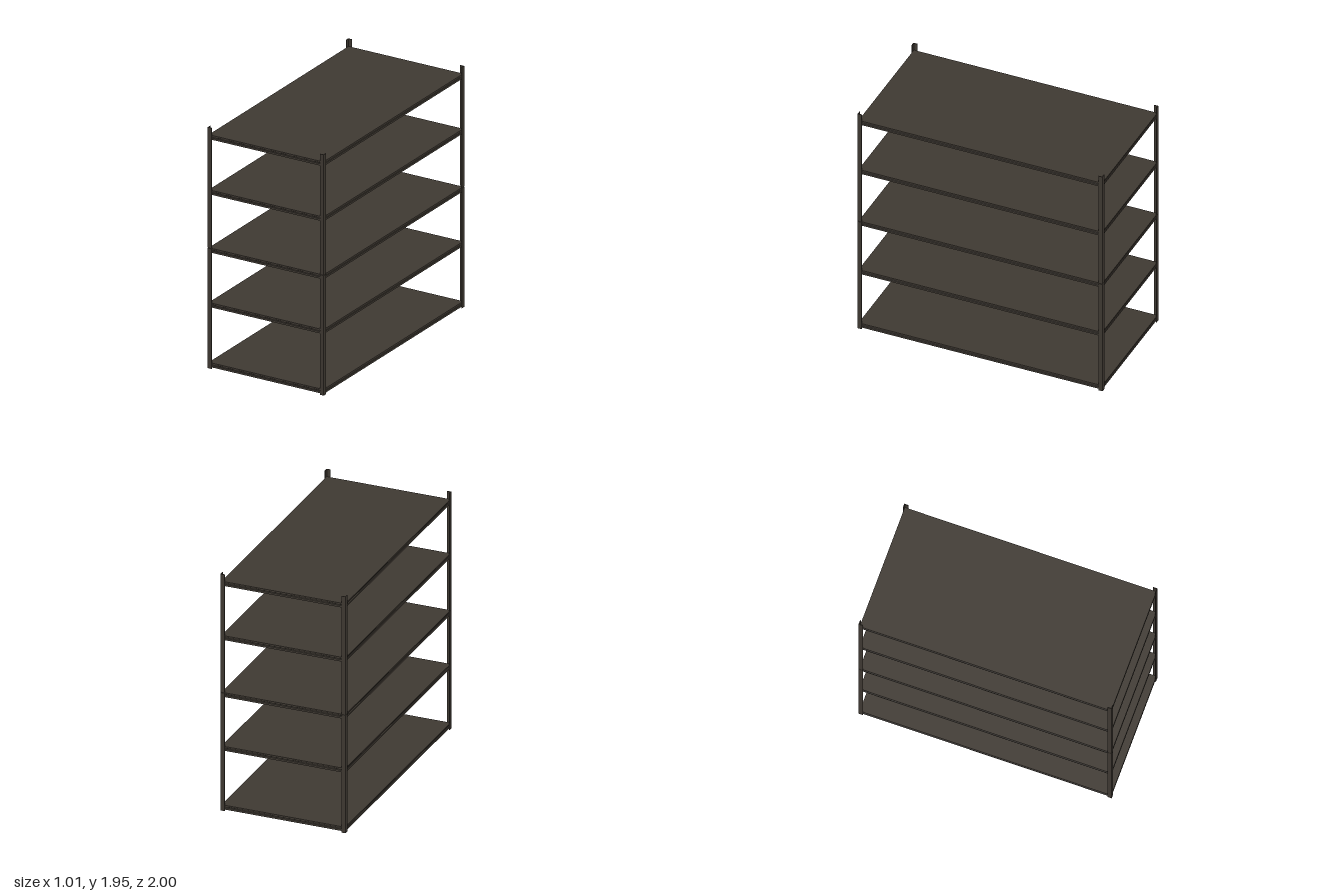
import * as THREE from 'three';

const HX = 0.507, HZ = 1.0;      // outer half width and half depth
const LEG = 0.034, WALL = 0.006; // angle post size
const BEAM = 0.036;              // beam height
const SHELF_TOPS = [0.046, 0.529, 0.971, 1.439, 1.884];

export function createModel() {
  const root = new THREE.Group();
  root.name = 'shelvingUnit';
  const steel = new THREE.MeshStandardMaterial({ color: 0x403a33 });
  steel.name = 'dark steel';

  const add = (parent, name, geometry, x = 0, y = 0, z = 0) => {
    const mesh = new THREE.Mesh(geometry, steel);
    mesh.name = name;
    mesh.position.set(x, y, z);
    parent.add(mesh);
    return mesh;
  };
  const box = (parent, name, w, h, d, x, y, z) =>
    add(parent, name, new THREE.BoxGeometry(w, h, d), x, y, z);
  const shapeOf = (points) => new THREE.Shape(points.map(([x, y]) => new THREE.Vector2(x, y)));

  // Angle posts in two stacked lengths, each corner's L opening inwards
  for (const [y0, y1] of [[0, 0.969], [0.973, 1.945]]) {
    for (const sx of [-1, 1]) for (const sz of [-1, 1]) {
      const at = (a, b) => [sx * (HX - a), -sz * (HZ - b)];
      const outline = shapeOf([at(0, 0), at(LEG, 0), at(LEG, WALL), at(WALL, WALL), at(WALL, LEG), at(0, LEG)]);
      const geometry = new THREE.ExtrudeGeometry(outline, { depth: y1 - y0, bevelEnabled: false });
      geometry.rotateX(-Math.PI / 2);
      add(root, 'cornerPost', geometry, 0, y0, 0);
    }
  }

  // Beam section: outer face at x = 0, with a shallow groove below the top lip
  const section = shapeOf([
    [0, 0], [0, -0.010], [-0.005, -0.013], [-0.005, -0.018], [0, -0.021],
    [0, -BEAM], [-0.018, -BEAM], [-0.018, -0.012], [-0.024, -0.012], [-0.024, 0],
  ]);
  const beamGeometry = (length) => {
    const geometry = new THREE.ExtrudeGeometry(section, { depth: length, bevelEnabled: false });
    return geometry.translate(0, 0, -length / 2);
  };
  const inX = HX - WALL, inZ = HZ - WALL;
  const sideBeam = beamGeometry(2 * inZ), endBeam = beamGeometry(2 * inX);

  // Shelves
  for (const top of SHELF_TOPS) {
    const shelf = new THREE.Group();
    shelf.name = 'shelf';
    shelf.position.y = top;
    root.add(shelf);

    for (const s of [1, -1]) {
      add(shelf, 'sideBeam', sideBeam, s * inX).rotation.y = s > 0 ? 0 : Math.PI;
      add(shelf, 'endBeam', endBeam, 0, 0, s * inZ).rotation.y = -s * Math.PI / 2;
    }
    box(shelf, 'deck', 2 * inX - 0.04, 0.010, 2 * inZ - 0.04, 0, -0.005, 0);

    // Stiffening ribs and the long centre support under the deck
    const ribs = 15;
    for (let i = 0; i < ribs; i++) {
      const z = -0.9 + (1.8 * i) / (ribs - 1);
      box(shelf, 'deckRib', 2 * inX - 0.036, 0.014, 0.022, 0, -0.017, z);
    }
    box(shelf, 'centreSupport', 0.024, 0.033, 2 * inZ - 0.03, 0, -0.0265, 0);
  }
  return root;
}
